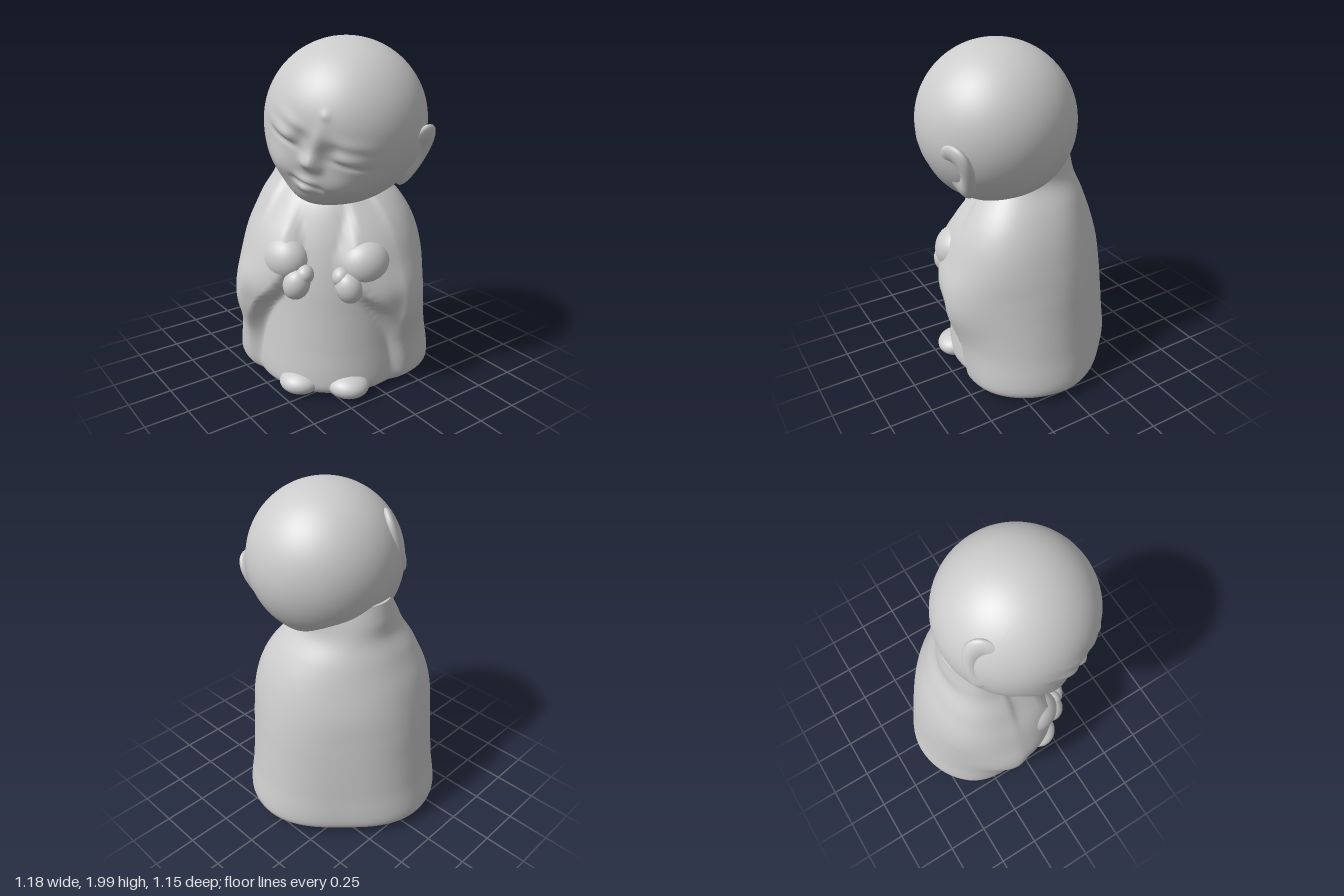
import * as THREE from 'three';

const material = new THREE.MeshStandardMaterial({ color: 0xcccccc });
const { smoothstep, lerp, degToRad } = THREE.MathUtils;

function part(name, geometry, parent) {
  const mesh = new THREE.Mesh(geometry, material);
  mesh.name = name;
  parent.add(mesh);
  return mesh;
}

function blob(name, parent, pos, scale, rot = [0, 0, 0]) {
  const mesh = part(name, new THREE.SphereGeometry(1, 32, 24), parent);
  mesh.position.set(...pos);
  mesh.scale.set(...scale);
  mesh.rotation.set(...rot);
}

// Robe rings: y, opening edge angle, front panel radius, then cloak radius at each angle
const ANGLES = [0, 45, 60, 90, 130, 180];
const ROBE = [
  [0.02, 56, 0.43, 0.43, 0.43, 0.45, 0.51, 0.50, 0.43],
  [0.08, 56, 0.465, 0.465, 0.465, 0.50, 0.58, 0.58, 0.495],
  [0.30, 52, 0.45, 0.46, 0.48, 0.53, 0.56, 0.555, 0.485],
  [0.50, 40, 0.435, 0.46, 0.53, 0.585, 0.55, 0.53, 0.47],
  [0.65, 23, 0.425, 0.46, 0.555, 0.58, 0.54, 0.51, 0.455],
  [0.80, 13, 0.405, 0.47, 0.515, 0.53, 0.525, 0.48, 0.435],
  [0.95, 17, 0.37, 0.42, 0.45, 0.47, 0.485, 0.435, 0.395],
  [1.10, 22, 0.31, 0.32, 0.34, 0.38, 0.41, 0.365, 0.345],
  [1.22, 24, 0.22, 0.22, 0.24, 0.28, 0.32, 0.295, 0.29],
  [1.32, 24, 0.18, 0.18, 0.19, 0.22, 0.27, 0.28, 0.26],
  [1.42, 24, 0.15, 0.15, 0.15, 0.17, 0.22, 0.26, 0.23],
];

function robeGeometry() {
  const half = 60, around = half * 2, rows = 90;
  const columns = ROBE[0].map((_, c) =>
    new THREE.SplineCurve(ROBE.map((row, i) => new THREE.Vector2(i, row[c]))));
  const pos = [], index = [];
  const addRing = (t, shrink = 1) => {
    const [y, edge, panel, ...radii] = columns.map((c) => c.getPoint(t).y);
    // Mirrored end points keep the ring smooth at front and back
    const points = radii.map((r, i) => new THREE.Vector2(ANGLES[i], r));
    const ring = new THREE.SplineCurve([
      new THREE.Vector2(-45, radii[1]), ...points, new THREE.Vector2(230, radii[4])]);
    const shift = -0.02 - 0.03 * smoothstep(y, 1, 1.3);
    for (let j = 0; j < around; j++) {
      const side = j <= half ? 1 : -1;
      const u = (side > 0 ? j : around - j) / half;
      const p = ring.getPoint((1 + 5 * u) / 7);
      const r = shrink * lerp(panel, p.y, smoothstep(p.x, edge, edge + 9));
      const a = degToRad(p.x) * side;
      pos.push(r * Math.sin(a) + shift, y, r * Math.cos(a));
    }
  };
  addRing(0, 0.001);
  addRing(0, 0.9);
  for (let i = 0; i <= rows; i++) addRing(i / rows);
  addRing(1, 0.001);
  for (let i = 0; i < rows + 3; i++) {
    for (let j = 0; j < around; j++) {
      const a = i * around + j, b = i * around + (j + 1) % around;
      index.push(a, b, b + around, a, b + around, a + around);
    }
  }
  const g = new THREE.BufferGeometry();
  g.setAttribute('position', new THREE.Float32BufferAttribute(pos, 3));
  g.setIndex(index);
  g.computeVertexNormals();
  return g;
}

// Face relief: x, y, width, height, depth; entries with x > 0 are mirrored
const FACE = [
  [0, 0, 0.24, 0.14, -0.028],        // flattened face
  [0, 0.05, 0.035, 0.09, 0.018],     // nose bridge
  [0, -0.045, 0.04, 0.045, 0.04],    // nose tip
  [0.04, -0.065, 0.025, 0.025, 0.014],
  [0, 0.215, 0.02, 0.02, 0.01],      // forehead mark
  [0.17, 0.11, 0.1, 0.03, 0.01],     // brows
  [0.09, 0.04, 0.04, 0.05, -0.014],  // inner sockets
  [0.19, 0.035, 0.08, 0.035, 0.022], // eyelids
  [0.19, -0.008, 0.09, 0.015, -0.014],
  [0.18, -0.17, 0.13, 0.1, 0.035],   // cheeks
  [0, -0.165, 0.055, 0.022, 0.022],  // lips
  [0, -0.19, 0.06, 0.009, -0.012],
  [0, -0.217, 0.045, 0.022, 0.024],
  [0.075, -0.19, 0.02, 0.02, -0.008],
  [0, -0.32, 0.16, 0.1, 0.065],      // chin
];

function headGeometry() {
  const g = new THREE.SphereGeometry(0.445, 160, 120);
  const p = g.attributes.position;
  for (let i = 0; i < p.count; i++) {
    const x = p.getX(i), y = p.getY(i), z = p.getZ(i);
    if (z <= 0) continue;
    let dz = 0;
    for (const [fx, fy, w, h, d] of FACE) {
      for (const s of fx ? [1, -1] : [1]) {
        dz += d * Math.exp(-(((x - 0.025 - s * fx) / w) ** 2) - ((y - fy) / h) ** 2);
      }
    }
    const k = smoothstep(z, 0, 0.2);
    // The jaw drops a little below the round skull
    p.setXYZ(i, x, y - 0.02 * k * smoothstep(-y, 0.2, 0.38), z + dz * k);
  }
  g.computeVertexNormals();
  return g;
}

// Flattened ear with a hollow outer face, leaning back at the top
function earGeometry(side) {
  const g = new THREE.SphereGeometry(1, 40, 32);
  const p = g.attributes.position;
  for (let i = 0; i < p.count; i++) {
    const x = p.getX(i), y = p.getY(i), z = p.getZ(i);
    const hollow = x * side > 0 ? 0.05 * Math.exp(-((y - 0.1) ** 2 + (z - 0.1) ** 2) / 0.25) : 0;
    p.setXYZ(i, x * 0.05 - side * hollow, y * 0.18, z * (0.115 + 0.035 * y) - 0.04 * y);
  }
  g.computeVertexNormals();
  return g;
}

export function createModel() {
  const model = new THREE.Group();
  model.name = 'figurine';

  // Body faces diagonally between +x and +z
  const body = new THREE.Group();
  body.name = 'body';
  body.rotation.y = Math.PI / 4;
  model.add(body);
  part('robe', robeGeometry(), body);

  for (const s of [1, -1]) {
    const side = s > 0 ? 'left' : 'right';
    blob(side + 'Foot', body, [s * 0.14, 0.073, 0.4], [0.12, 0.07, 0.11]);
    blob(side + 'Palm', body, [s * 0.145, 0.69, 0.435], [0.075, 0.09, 0.07], [0, 0, s * 0.3]);
    blob(side + 'Fingers', body, [s * 0.1, 0.745, 0.425], [0.05, 0.055, 0.055]);
    blob(side + 'Cuff', body, [s * 0.22, 0.81, 0.345], [0.14, 0.13, 0.115], [-0.3, s * 0.45, s * 0.35]);
  }

  // Head is turned, bowed and tilted toward its left shoulder
  const head = new THREE.Group();
  head.name = 'head';
  const up = new THREE.Vector3(0.44, 0.9, 0.04).normalize();
  const front = new THREE.Vector3(0.79, -0.355, -0.5).cross(up).normalize();
  const across = new THREE.Vector3().crossVectors(up, front);
  head.quaternion.setFromRotationMatrix(new THREE.Matrix4().makeBasis(across, up, front));
  head.position.set(0.142, 1.552, 0.035);
  model.add(head);
  part('skullAndFace', headGeometry(), head);
  for (const s of [1, -1]) {
    const ear = part(s > 0 ? 'leftEar' : 'rightEar', earGeometry(s), head);
    ear.position.set(s * 0.415 + 0.01, -0.015, 0.01);
    ear.rotation.set(0, -0.3 * s, 0.02 * s);
  }
  return model;
}
